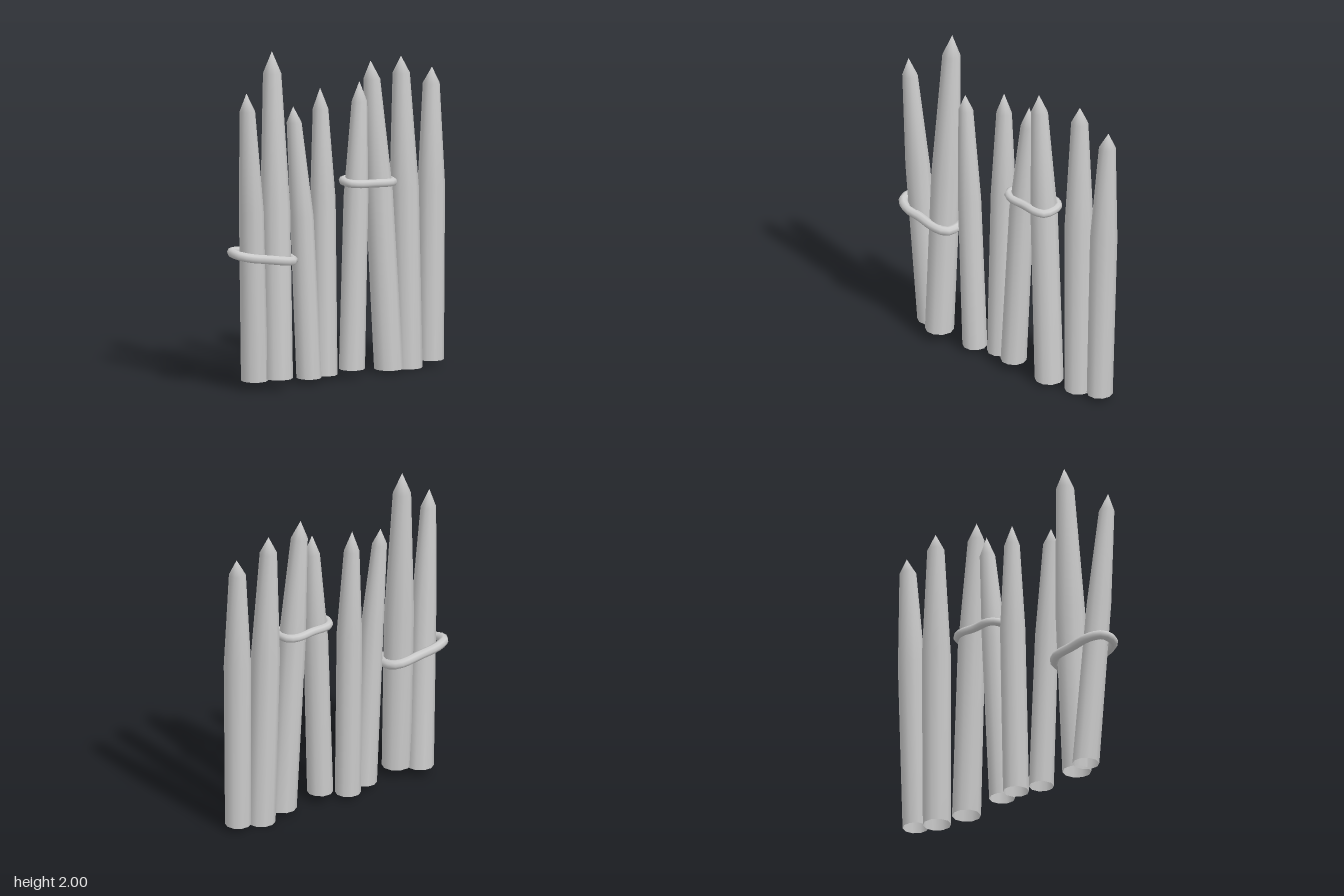
import * as THREE from 'three';
import { mergeVertices } from 'three/addons/utils/BufferGeometryUtils.js';

const material = new THREE.MeshStandardMaterial({ color: 0xcccccc, side: THREE.DoubleSide });
const SIDES = 10;

// Hollow pointed stake: rings of [x, y, z, radius] from base to tip
function makeStake(rings) {
  const rows = rings.length - 1;
  const geo = new THREE.CylinderGeometry(1, 1, 1, SIDES, rows, true);
  const pos = geo.attributes.position;
  for (let i = 0; i < pos.count; i++) {
    const row = rows - Math.floor(i / (SIDES + 1));
    const [x, y, z, r] = rings[row];
    pos.setXYZ(i, x + pos.getX(i) * r, y, z + pos.getZ(i) * r);
  }
  geo.deleteAttribute('uv');
  geo.deleteAttribute('normal');
  const smooth = mergeVertices(geo, 1e-4);
  smooth.computeVertexNormals();
  return new THREE.Mesh(smooth, material);
}

// Rope loop around two stakes: path points [x, z], height given by a rule
function makeBinding(points, height, radius) {
  const path = points.map(([x, z]) => new THREE.Vector3(x, height(x, z), z));
  const curve = new THREE.CatmullRomCurve3(path, true, 'centripetal');
  return new THREE.Mesh(new THREE.TubeGeometry(curve, 28, radius, 8, true), material);
}

export function createModel() {
  const group = new THREE.Group();

  // Each stake: base, middle, shoulder, tip
  const stakes = [
    [[-0.015, 0.05, 0.612, 0.08], [0.033, 1.08, 0.672, 0.073], [0.052, 1.68, 0.716, 0.046], [0.055, 1.79, 0.725, 0]],
    [[0.05, 0.06, 0.485, 0.086], [0.005, 1.07, 0.474, 0.088], [-0.035, 1.87, 0.467, 0.054], [-0.04, 2, 0.465, 0]],
    [[0.018, 0.03, 0.235, 0.074], [0.012, 1, 0.283, 0.069], [-0.005, 1.565, 0.327, 0.044], [-0.007, 1.66, 0.333, 0]],
    [[-0.033, 0.025, 0.082, 0.077], [-0.056, 1.07, 0.076, 0.075], [-0.07, 1.61, 0.083, 0.046], [-0.072, 1.735, 0.085, 0]],
    [[0.025, 0.05, -0.077, 0.077], [0.005, 1.07, -0.122, 0.073], [-0.012, 1.635, -0.16, 0.046], [-0.016, 1.755, -0.163, 0]],
    [[0.02, 0.02, -0.352, 0.086], [0, 1.1, -0.295, 0.081], [-0.01, 1.76, -0.25, 0.05], [-0.013, 1.87, -0.243, 0]],
    [[-0.032, 0, -0.537, 0.084], [-0.054, 1.08, -0.523, 0.086], [-0.07, 1.76, -0.513, 0.051], [-0.072, 1.86, -0.513, 0]],
    [[-0.033, 0.03, -0.704, 0.077], [-0.05, 1.07, -0.72, 0.081], [-0.068, 1.675, -0.733, 0.05], [-0.07, 1.77, -0.74, 0]],
  ];
  stakes.forEach((rings, i) => {
    const stake = makeStake(rings);
    stake.name = `stake${i + 1}`;
    group.add(stake);
  });

  // Lower rope, around the two front stakes
  const lower = makeBinding(
    [[-0.078, 0.69], [-0.035, 0.768], [0.05, 0.77], [0.095, 0.7], [0.098, 0.6], [0.108, 0.48],
      [0.085, 0.4], [-0.03, 0.385], [-0.075, 0.43], [-0.08, 0.56]],
    (x, z) => 0.765 + (z - 0.385) * 0.16 - x * 0.12, 0.028);
  lower.name = 'lowerBinding';

  // Upper rope, around the two middle stakes
  const upper = makeBinding(
    [[-0.075, -0.1], [-0.04, -0.06], [0.04, -0.05], [0.072, -0.1], [0.074, -0.2], [0.08, -0.3],
      [0.06, -0.355], [-0.05, -0.36], [-0.083, -0.31], [-0.074, -0.2]],
    (x, z) => 1.168 + z * 0.06 - x * 0.06, 0.025);
  upper.name = 'upperBinding';

  group.add(lower, upper);
  return group;
}
